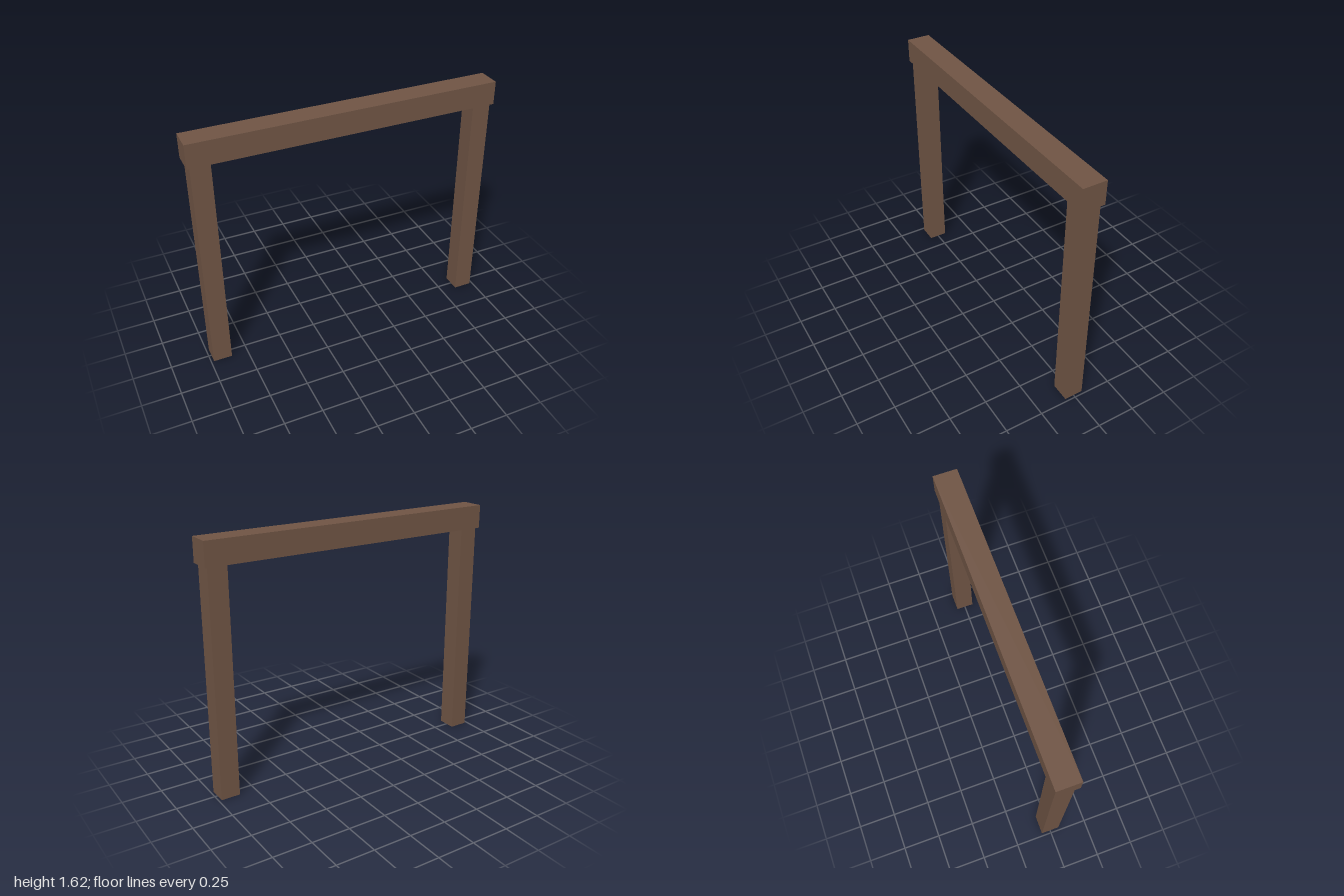
import * as THREE from 'three';

const POST = { width: 0.123, height: 1.465, x: 0.92 };
const BEAM = { length: 2, size: 0.153 };

export function createModel() {
  const model = new THREE.Group();
  model.name = 'timberFrame';
  const wood = new THREE.MeshStandardMaterial({ color: 0x705545 });
  wood.name = 'brown wood';

  const addTimber = (name, w, h, d, x, y) => {
    const mesh = new THREE.Mesh(new THREE.BoxGeometry(w, h, d), wood);
    mesh.name = name;
    mesh.position.set(x, y, 0);
    model.add(mesh);
  };

  // Two upright posts
  for (const [name, side] of [['leftPost', 1], ['rightPost', -1]]) {
    addTimber(name, POST.width, POST.height, POST.width, side * POST.x, POST.height / 2);
  }

  // Crossbeam resting on the posts
  addTimber('crossbeam', BEAM.length, BEAM.size, BEAM.size, 0, POST.height + BEAM.size / 2);

  return model;
}
